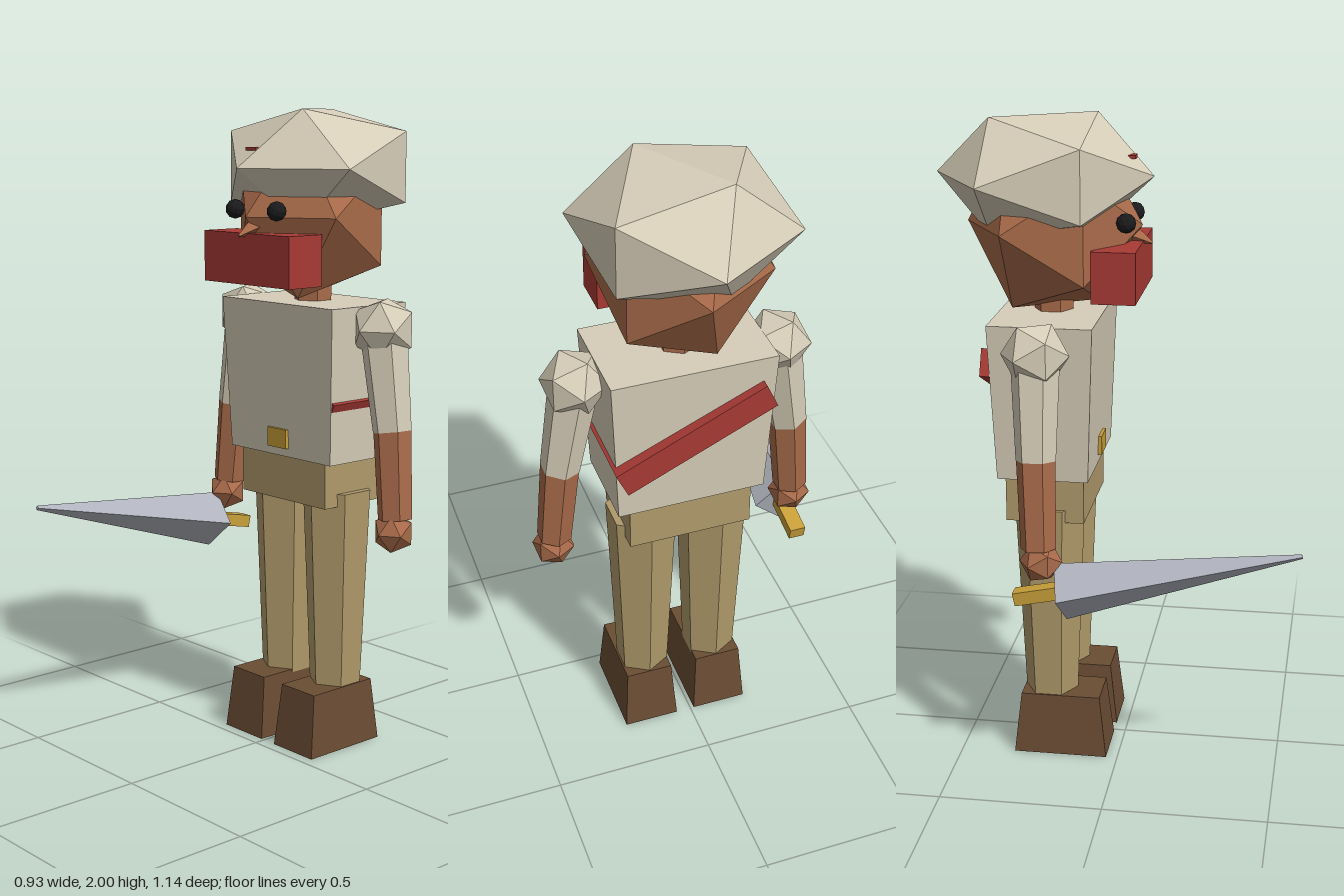
import * as THREE from 'three';

const mat = (name, color) => {
  const m = new THREE.MeshStandardMaterial({ color, flatShading: true });
  m.name = name;
  return m;
};

export function createModel() {
  const group = new THREE.Group();
  const cloth = mat('offWhiteCloth', 0xd6cdb8);
  const tan = mat('tanTrousers', 0xb09a6b);
  const skin = mat('skin', 0xa96b4a);
  const red = mat('redCloth', 0xa83a35);
  const leather = mat('brownLeather', 0x6b4d34);
  const steel = mat('steel', 0xb0b3bd);
  const gold = mat('gold', 0xc9a03a);
  const black = mat('black', 0x1b1b1d);

  const CX = 0.018, CZ = -0.222; // body axis

  const add = (name, geometry, material, x = 0, y = 0, z = 0) => {
    const mesh = new THREE.Mesh(geometry, material);
    mesh.name = name;
    mesh.position.set(x, y, z);
    group.add(mesh);
    return mesh;
  };

  // Box whose bottom face is scaled relative to its top face
  const taperedBox = (w, h, d, sx, sz) => {
    const g = new THREE.BoxGeometry(w, h, d);
    const p = g.attributes.position;
    for (let i = 0; i < p.count; i++) {
      if (p.getY(i) < 0) p.setXYZ(i, p.getX(i) * sx, p.getY(i), p.getZ(i) * sz);
    }
    g.computeVertexNormals();
    return g;
  };

  // Faceted ball, turned about the vertical axis and squashed in y
  const ball = (radius, sy = 1) =>
    new THREE.IcosahedronGeometry(radius, 0).rotateY(-1.02).scale(1, sy, 1);

  // Tapered prism from point a to point b
  const rod = (name, a, b, ra, rb, sides, material) => {
    const from = new THREE.Vector3(...a), to = new THREE.Vector3(...b);
    const dir = to.clone().sub(from);
    const mesh = add(name, new THREE.CylinderGeometry(rb, ra, dir.length(), sides), material);
    mesh.position.copy(from).add(to).multiplyScalar(0.5);
    mesh.quaternion.setFromUnitVectors(new THREE.Vector3(0, 1, 0), dir.normalize());
    return mesh;
  };

  // Torso and hips
  add('shirt', taperedBox(0.5, 0.48, 0.315, 0.91, 0.88), cloth, CX, 1.175, CZ);
  add('hips', new THREE.BoxGeometry(0.382, 0.2, 0.24), tan, 0.014, 0.89, CZ);
  add('buckle', new THREE.BoxGeometry(0.085, 0.06, 0.04), gold, CX, 0.992, -0.09);
  const sash = add('sash', new THREE.BoxGeometry(0.5, 0.085, 0.324), red, 0.02, 1.192, -0.242);
  sash.rotation.z = -0.436;

  // Head, face and cap
  add('neck', new THREE.CylinderGeometry(0.06, 0.06, 0.16, 6), skin, CX, 1.46, CZ);
  add('head', ball(0.266, 1.1), skin, 0.012, 1.68, -0.215);
  add('cap', ball(0.329, 0.625), cloth, 0.012, 1.825, -0.243);
  add('capBadge', new THREE.BoxGeometry(0.045, 0.01, 0.03), red, 0.012, 1.882, 0.017);
  add('faceScarf', new THREE.BoxGeometry(0.385, 0.155, 0.132), red, 0.016, 1.555, -0.011);
  rod('nose', [0.014, 1.655, 0.01], [0.014, 1.625, 0.08], 0.032, 0.004, 4, skin);
  for (const s of [-1, 1]) {
    add('eye', new THREE.IcosahedronGeometry(0.03, 1), black, 0.015 + s * 0.094, 1.7, 0.014);
  }

  // Limbs, mirrored about the body axis
  for (const s of [-1, 1]) {
    const x = (d) => CX + s * d;
    rod('leg', [x(0.114), 0.17, CZ], [x(0.114), 0.83, CZ], 0.082, 0.11, 6, tan);
    add('boot', taperedBox(0.148, 0.2, 0.25, 1.18, 1.18), leather, x(0.117), 0.1, -0.183);
    add('shoulder', ball(0.102), cloth, x(0.309), 1.35, CZ);
    rod('sleeve', [x(0.36), 1.045, -0.214], [x(0.306), 1.37, CZ], 0.06, 0.075, 6, cloth);
    rod('forearm', [x(0.385), 0.78, -0.206], [x(0.36), 1.05, -0.214], 0.053, 0.059, 6, skin);
    add('hand', ball(0.065), skin, x(0.387), 0.74, -0.198);
  }

  // Sword in the right hand, pointing forward
  rod('swordBlade', [-0.375, 0.65, -0.14], [-0.366, 0.8, 0.57], 0.09, 0.007, 4, steel);
  const grip = add('swordGrip', new THREE.BoxGeometry(0.05, 0.04, 0.15), gold, -0.372, 0.638, -0.205);
  grip.rotation.x = -0.21;

  return group;
}
